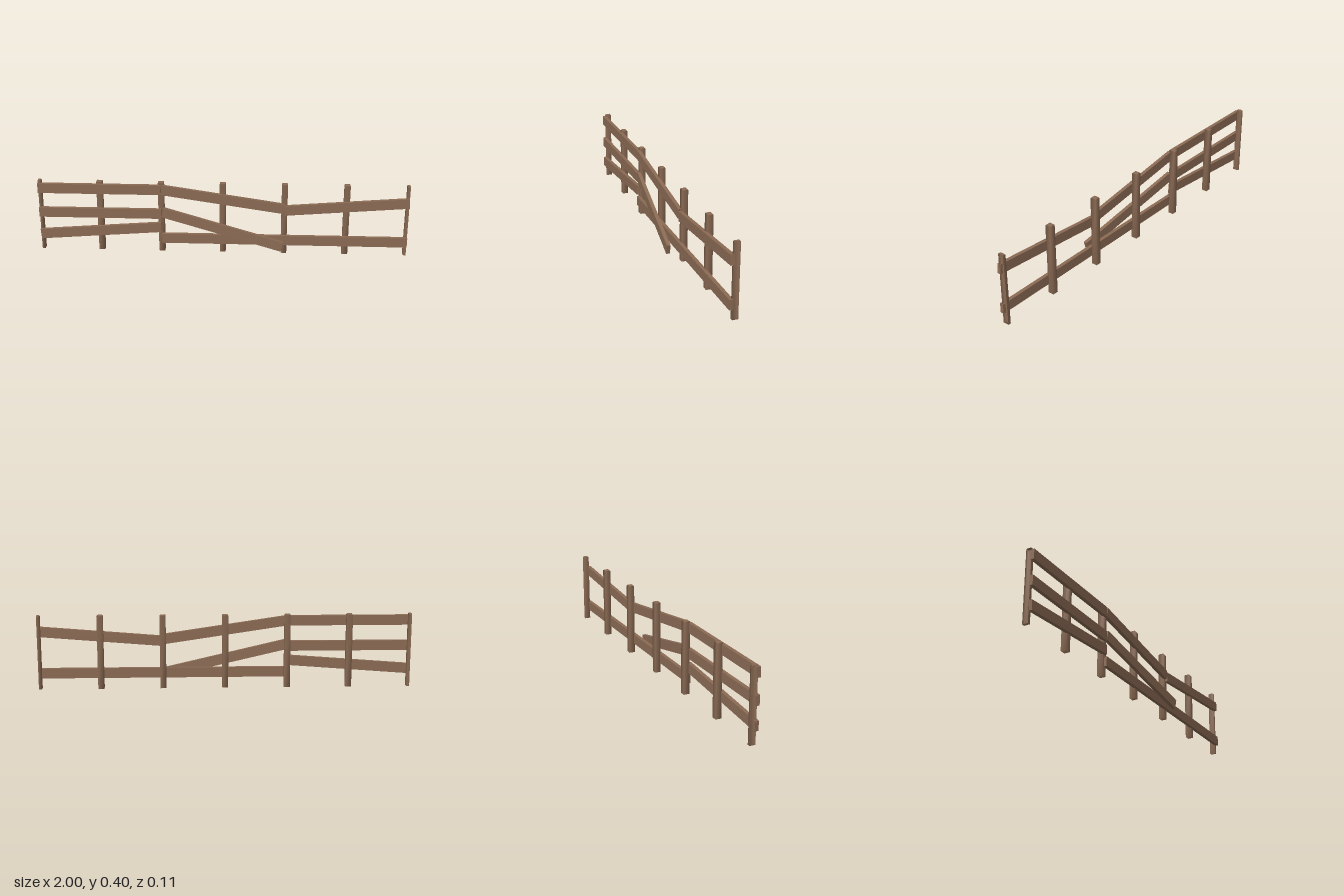
import * as THREE from 'three';

const wood = new THREE.MeshStandardMaterial({ color: 0x8b6b54, side: THREE.DoubleSide });
wood.name = 'brown wood';

// Square post with a softened top; cut = 1 or -1 leaves that x side open
function makePost(x0, x1, cut) {
  const zBack = -0.052, zFront = -0.02, bevel = 0.004;
  const positions = [];
  for (const [y, inset] of [[0, 0], [0.395, 0], [0.4, bevel]]) {
    const l = x0 + (cut === -1 ? 0 : inset), r = x1 - (cut === 1 ? 0 : inset);
    const f = zFront - inset, b = zBack + inset;
    positions.push(l, y, f, r, y, f, r, y, b, l, y, b);
  }
  const index = [8, 9, 10, 8, 10, 11, 0, 2, 1, 0, 3, 2];
  const openSide = cut === 1 ? 1 : cut === -1 ? 3 : -1;
  for (let ring = 0; ring < 2; ring++) {
    for (let i = 0; i < 4; i++) {
      if (i === openSide) continue;
      const a = ring * 4 + i, b = ring * 4 + (i + 1) % 4;
      index.push(a, b, b + 4, a, b + 4, a + 4);
    }
  }
  const geometry = new THREE.BufferGeometry();
  geometry.setAttribute('position', new THREE.Float32BufferAttribute(positions, 3));
  geometry.setIndex(index);
  geometry.computeVertexNormals();
  return new THREE.Mesh(geometry, wood);
}

// Flat board running between two centre points
function makeRail(from, to) {
  const a = new THREE.Vector3(...from), b = new THREE.Vector3(...to);
  const d = b.clone().sub(a);
  const rail = new THREE.Mesh(new THREE.BoxGeometry(d.length(), 0.054, 0.02), wood);
  rail.position.copy(a).add(b).multiplyScalar(0.5);
  rail.rotation.set(0, Math.atan2(-d.z, d.x), Math.atan2(d.y, Math.hypot(d.x, d.z)), 'YZX');
  return rail;
}

export function createModel() {
  const fence = new THREE.Group();
  fence.name = 'fence';

  // Posts, with half posts at both ends
  for (let i = -3; i <= 3; i++) {
    const x = i / 3, h = 0.016;
    const cut = i === 3 ? 1 : i === -3 ? -1 : 0;
    const post = makePost(Math.max(x - h, -1), Math.min(x + h, 1), cut);
    post.name = cut ? 'endPost' : 'post';
    fence.add(post);
  }

  // Rails, some sagging and one hanging loose
  const z = -0.015, t = 1 / 3;
  const rails = {
    rightTopRail: [[-1, 0.361, z], [-t, 0.361, z]],
    rightMiddleRail: [[-1, 0.222, z], [-t, 0.222, z]],
    rightBottomRail: [[-0.998, 0.092, z], [-t, 0.144, z]],
    centreTopRail: [[-0.33, 0.361, z], [0.33, 0.264, z]],
    centreBottomRail: [[-t, 0.08, z], [t, 0.08, z]],
    leftTopRail: [[t, 0.254, z], [0.998, 0.308, z]],
    leftBottomRail: [[t, 0.08, z], [1, 0.08, z]],
    looseRail: [[-0.327, 0.231, z], [0.322, 0.067, 0.043]],
  };
  for (const [name, [from, to]] of Object.entries(rails)) {
    const rail = makeRail(from, to);
    rail.name = name;
    fence.add(rail);
  }
  return fence;
}
